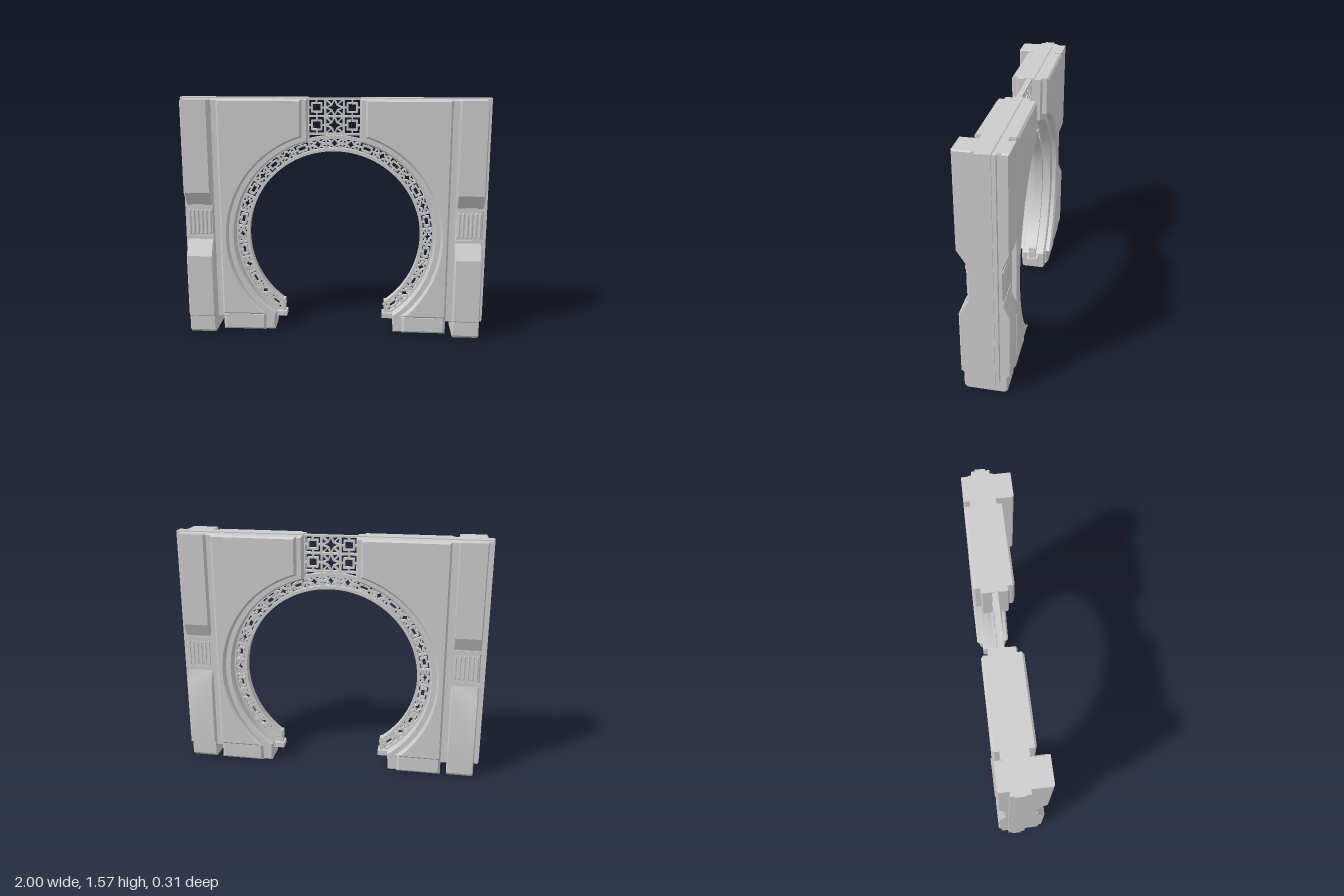
import * as THREE from 'three';
import { mergeGeometries, toCreasedNormals } from 'three/addons/utils/BufferGeometryUtils.js';

const CY = 0.65;      // height of the arch centre
const ZC = -0.035;    // middle plane of the wall
const TOP = 1.56;
const mat = new THREE.MeshStandardMaterial({ color: 0xcccccc });

// Mirror a geometry across x = 0, keeping the faces outward
function mirrored(geo) {
  const g = geo.index ? geo.toNonIndexed() : geo.clone();
  g.scale(-1, 1, 1);
  for (const name of ['position', 'normal', 'uv']) {
    const a = g.attributes[name];
    if (!a) continue;
    const n = a.itemSize;
    for (let i = 0; i < a.count; i += 3) {
      for (let k = 0; k < n; k++) {
        const p = (i + 1) * n + k, q = (i + 2) * n + k, t = a.array[p];
        a.array[p] = a.array[q];
        a.array[q] = t;
      }
    }
  }
  return g;
}

function box(x0, x1, y0, y1, z0, z1) {
  return new THREE.BoxGeometry(x1 - x0, y1 - y0, z1 - z0)
    .translate((x0 + x1) / 2, (y0 + y1) / 2, (z0 + z1) / 2);
}

// Extrude a shape between two depths, with a chamfer kept inside the outline
function slab(shape, z0, z1, bevel = 0) {
  const g = new THREE.ExtrudeGeometry(shape, {
    depth: z1 - z0 - 2 * bevel, curveSegments: 48, bevelEnabled: bevel > 0,
    bevelThickness: bevel, bevelSize: bevel, bevelOffset: -bevel, bevelSegments: 1,
  }).translate(0, 0, z0 + bevel);
  return toCreasedNormals(g, 0.4);
}

// Outline whose inner side follows the arch of radius r
function archOutline(lower, r, xTop, yEnd) {
  const s = new THREE.Shape(lower.map(p => new THREE.Vector2(...p)));
  const a0 = Math.acos(xTop / r), a1 = Math.asin((yEnd - CY) / r);
  s.lineTo(xTop, CY + r * Math.sin(a0));
  s.absarc(0, CY, r, a0, a1, true);
  return s;
}

function rectShape(x0, x1, y0, y1) {
  return new THREE.Shape([[x0, y0], [x1, y0], [x1, y1], [x0, y1]].map(p => new THREE.Vector2(...p)));
}

// Arc band from angle a0 to a1
function band(r0, r1, a0, a1, z0, z1) {
  const s = new THREE.Shape();
  s.absarc(0, CY, r1, a0, a1, false);
  s.absarc(0, CY, r0, a1, a0, true);
  return slab(s, z0, z1);
}

// Straight lattice bar between two points
function bar(p, q, w = 0.01, d = 0.03) {
  const dx = q[0] - p[0], dy = q[1] - p[1];
  return new THREE.BoxGeometry(Math.hypot(dx, dy) + w * 0.6, w, d)
    .rotateZ(Math.atan2(dy, dx))
    .translate((p[0] + q[0]) / 2, (p[1] + q[1]) / 2, ZC);
}

function polyBars(points, map, w) {
  return points.slice(1).map((p, i) => bar(map(...points[i]), map(...p), w));
}

// Four-pointed star tied to the corners of its cell
function starCell(map) {
  const out = [], pts = [];
  for (let i = 0; i <= 8; i++) {
    const r = i % 2 ? 0.42 : 0.95, a = i * Math.PI / 4;
    pts.push([r * Math.cos(a), r * Math.sin(a)]);
  }
  out.push(...polyBars(pts, map, 0.009));
  for (const u of [-1, 1]) for (const v of [-1, 1])
    out.push(bar(map(0.3 * u, 0.3 * v), map(u, v), 0.009));
  return out;
}

// Square hook with links to the cell edges
function meanderCell(map, s = 1) {
  return [
    ...polyBars([[0, 0.5], [0.55, 0.5], [0.55, -0.5], [-0.55, -0.5], [-0.55, 0.5], [-0.2, 0.5]]
      .map(([u, v]) => [u * s, v]), map, 0.011),
    bar(map(0.55 * s, 0), map(s, 0)), bar(map(-0.55 * s, 0), map(-s, 0)),
    bar(map(0, 0.5), map(0, 1)), bar(map(0, -0.5), map(0, -1)),
  ];
}

export function createModel() {
  const model = new THREE.Group();
  const add = (parent, name, geo) => {
    const m = new THREE.Mesh(geo, mat);
    m.name = name;
    parent.add(m);
  };

  // Parts of one half wall, on the +x side
  const parts = {};
  parts.archFrame = slab(archOutline(
    [[0.4, 0], [0.75, 0], [0.75, 0.08], [0.965, 0.08], [0.965, TOP], [0.17, TOP]],
    0.66, 0.17, 0.12), -0.115, 0.05, 0.008);
  parts.wallPanel = slab(archOutline(
    [[0.457, 0.115], [0.75, 0.115], [0.75, TOP], [0.205, TOP]],
    0.7, 0.205, 0.115), -0.155, 0.085, 0.012);
  parts.wallBase = slab(rectShape(0.46, 0.75, 0, 0.125), -0.135, 0.068, 0.015);

  // Pillar: side profile (z, y) extruded along x
  const profile = [[0.115, 0], [0.133, 0.02], [0.133, 0.115], [0.15, 0.125], [0.15, 0.54], [0.09, 0.65],
    [0.09, 0.87], [0.15, 0.965], [0.15, TOP], [-0.152, TOP], [-0.152, 0.965], [-0.11, 0.87],
    [-0.11, 0.65], [-0.152, 0.55], [-0.152, 0.125], [-0.132, 0.115], [-0.132, 0.02], [-0.115, 0]];
  parts.pillar = slab(new THREE.Shape(profile.map(p => new THREE.Vector2(...p))), 0, 0.175, 0.007)
    .rotateY(-Math.PI / 2).translate(0.965, 0, 0);

  // Fluted band at the pillar's waist, front and back
  const flutes = [box(0.79, 0.965, 0.645, 0.665, -0.118, 0.098), box(0.79, 0.965, 0.855, 0.875, -0.118, 0.098)];
  for (let i = 0; i < 6; i++) for (const z of [0.09, -0.11])
    flutes.push(new THREE.CapsuleGeometry(0.009, 0.15, 3, 8).translate(0.81 + i * 0.0272, 0.76, z));
  parts.pillarFlutes = mergeGeometries(flutes);

  // Stepped outer edge and raised ridge along the top
  parts.outerEdge = mergeGeometries([
    box(0.96, 0.992, 0.08, TOP, -0.088, 0.025),
    box(0.97, 1.0, 0.08, TOP + 0.006, -0.065, -0.002),
    box(0.17, 0.97, TOP - 0.02, TOP + 0.006, -0.065, -0.002),
  ]);

  // Foot closing the lower end of the lattice
  parts.latticeFoot = mergeGeometries([
    box(0.325, 0.43, 0.08, 0.115, -0.075, 0.005),
    box(0.336, 0.358, 0.11, 0.2, -0.06, -0.01),
  ]);

  for (const [side, flip] of [['leftHalf', false], ['rightHalf', true]]) {
    const half = new THREE.Group();
    half.name = side;
    for (const [name, geo] of Object.entries(parts)) add(half, name, flip ? mirrored(geo) : geo);
    model.add(half);
  }

  // Rims of the arch lattice
  const rad = THREE.MathUtils.degToRad;
  add(model, 'latticeInnerRim', band(0.57, 0.59, rad(-54), rad(234), -0.062, -0.008));
  add(model, 'latticeOuterRim', band(0.65, 0.672, rad(-57), rad(237), -0.052, -0.018));

  // Curved lattice: polar cells, alternating star and hook
  const bars = [];
  const step = 10;
  for (let i = -14; i <= 14; i++) {
    const mid = 90 + i * step;
    const map = (u, v) => {
      const a = rad(mid + u * step / 2), r = 0.62 + v * 0.032;
      return [r * Math.cos(a), CY + r * Math.sin(a)];
    };
    const k = Math.abs(i);
    bars.push(...(k < 2 || k % 2 ? starCell(map) : meanderCell(map, Math.sign(i))));
    bars.push(bar(map(1, -1), map(1, 1), 0.012));
    if (i === -14) bars.push(bar(map(-1, -1), map(-1, 1), 0.012));
  }
  add(model, 'archLattice', mergeGeometries(bars));

  // Upright lattice panel above the arch: three columns, two rows
  const grid = [];
  const xs = [-0.17, -0.06, 0.06, 0.17], ys = [1.33, 1.445, 1.556];
  for (const x of xs) grid.push(bar([x, 1.29], [x, 1.556], 0.012, 0.034));
  for (const y of ys) grid.push(bar([-0.17, y], [0.17, y], 0.012, 0.034));
  for (let c = 0; c < 3; c++) for (let r = 0; r < 2; r++) {
    const map = (u, v) => [
      (xs[c] + xs[c + 1]) / 2 + u * (xs[c + 1] - xs[c]) / 2,
      (ys[r] + ys[r + 1]) / 2 + v * (ys[r + 1] - ys[r]) / 2];
    grid.push(...(c === 1 ? starCell(map) : meanderCell(map, c - 1)));
  }
  add(model, 'topLattice', mergeGeometries(grid));
  return model;
}
